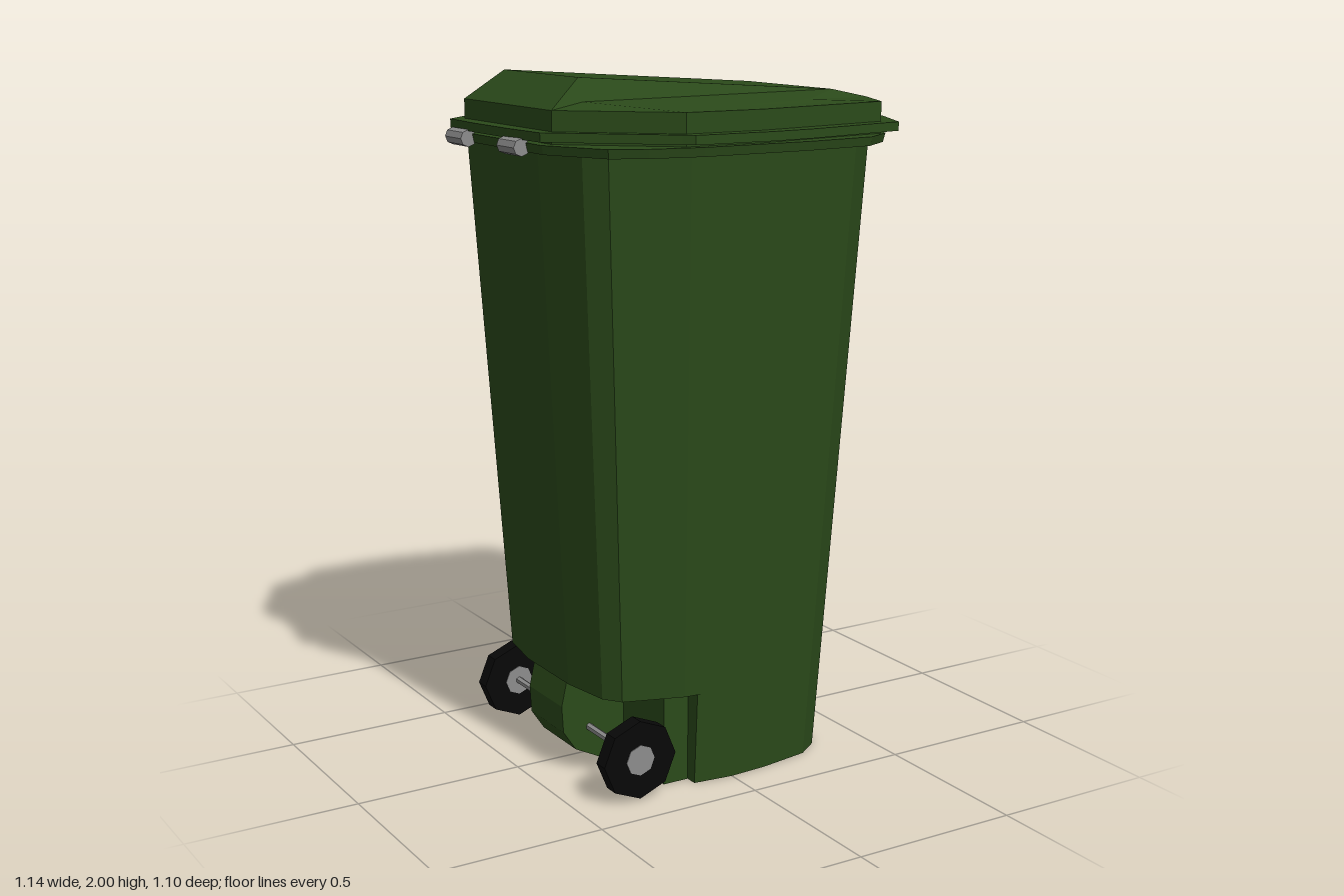
import * as THREE from 'three';

const mat = (color) => new THREE.MeshStandardMaterial({ color, flatShading: true });

function trisToGeometry(tris) {
  const g = new THREE.BufferGeometry();
  g.setAttribute('position', new THREE.Float32BufferAttribute(tris.flat(2), 3));
  g.computeVertexNormals();
  return g;
}

// Half outline [x, z] from front (+x) to back (-x), mirrored across z = 0
const mirrorOutline = (half) => [...half, ...half.map(([x, z]) => [x, -z]).reverse()];
const ringAt = (outline, y, s = 1) => outline.map(([x, z]) => [x * s, y, z * s]);

// Closed solid through a stack of rings, bottom first
function loft(rings) {
  const tris = [];
  const n = rings[0].length;
  for (let k = 0; k < rings.length - 1; k++) {
    const lo = rings[k], hi = rings[k + 1];
    for (let i = 0; i < n; i++) {
      const j = (i + 1) % n;
      tris.push([lo[i], hi[i], lo[j]], [lo[j], hi[i], hi[j]]);
    }
  }
  const bottom = rings[0], top = rings[rings.length - 1];
  for (let i = 1; i < n - 1; i++) {
    tris.push([bottom[0], bottom[i], bottom[i + 1]], [top[0], top[i + 1], top[i]]);
  }
  return trisToGeometry(tris);
}

// Raised lid top: sloping plateau, dented shoulders, folded ends
function lidTop() {
  const E0 = [-0.5, 1.92, 0.26], E1 = [-0.235, 1.92, 0.5], E2 = [0, 1.92, 0.505];
  const E3 = [0.44, 1.92, 0.435], E4 = [0.52, 1.92, 0.26];
  const R0 = [-0.395, 2.0, 0.215], R1 = [0.43, 1.942, 0.215];
  const A = [-0.4, 1.938, 0.25], B = [-0.19, 1.926, 0.41];
  const C = [0, 1.926, 0.42], D = [0.23, 1.93, 0.385];
  const half = [
    [E0, R0, A], [E0, A, E1], [A, E1, B], [E1, E2, B], [B, E2, C], [C, E2, E3],
    [C, E3, D], [D, E3, E4], [R1, E4, D], [R0, A, R1], [A, D, R1], [A, B, C], [A, C, D],
  ];
  const m = ([x, y, z]) => [x, y, -z];
  const tris = [...half, ...half.map((t) => t.map(m))];
  for (const [p, q] of [[R0, R1], [R1, E4], [E0, R0]]) tris.push([p, q, m(p)], [m(p), q, m(q)]);
  // Turn every face upwards
  return trisToGeometry(tris.map(([a, b, c]) => {
    const ny = (b[2] - a[2]) * (c[0] - a[0]) - (b[0] - a[0]) * (c[2] - a[2]);
    return ny < 0 ? [a, c, b] : [a, b, c];
  }));
}

export function createModel() {
  const model = new THREE.Group();
  model.name = 'wheeledBin';
  const green = mat(0x2b4a1a), black = mat(0x080808), grey = mat(0x8c8c8c);

  const add = (name, geometry, material, parent = model) => {
    const mesh = new THREE.Mesh(geometry, material);
    mesh.name = name;
    parent.add(mesh);
    return mesh;
  };
  // Cylinder lying along z
  const rod = (r, length, sides) => new THREE.CylinderGeometry(r, r, length, sides).rotateX(Math.PI / 2);

  // Tapered body with chamfered corners, cut away at the lower back for the wheels
  const bodyOutline = mirrorOutline([
    [0.5, 0.12], [0.465, 0.34], [0.435, 0.385], [0.35, 0.445], [0.15, 0.478], [0, 0.487],
    [-0.2, 0.47], [-0.41, 0.4], [-0.455, 0.34], [-0.485, 0.15],
  ]);
  const taper = (y) => 0.78 + 0.22 * (y / 1.81);
  const notchY = 0.275, notchX = -0.12;
  add('body', loft([notchY, 1.81].map((y) => ringAt(bodyOutline, y, taper(y)))), green);
  const clip = ([x, y, z]) => [Math.max(x, notchX), y, z];
  add('lowerBody', loft([0, notchY].map((y) => ringAt(bodyOutline, y, taper(y)).map(clip))), green);

  // Recessed wall between the wheels
  add('wheelRecess', new THREE.BoxGeometry(0.12, notchY, 0.66), green)
    .position.set(-0.14, notchY / 2, 0);

  // Rounded bracket holding the axle
  const bracket = new THREE.Shape([
    [-0.18, 0.01], [-0.18, notchY], [-0.388, notchY], [-0.405, 0.2], [-0.4, 0.12], [-0.36, 0.06], [-0.28, 0.02],
  ].map(([x, y]) => new THREE.Vector2(x, y)));
  add('axleBracket', new THREE.ExtrudeGeometry(bracket, { depth: 0.2, bevelEnabled: false })
    .translate(0, 0, -0.1), green);

  // Body rim
  const rimOutline = mirrorOutline([
    [0.55, 0.25], [0.46, 0.43], [0.355, 0.51], [0.13, 0.535], [-0.2, 0.535],
    [-0.35, 0.505], [-0.445, 0.46], [-0.535, 0.27],
  ]);
  add('bodyRim', loft([ringAt(rimOutline, 1.807, 0.99), ringAt(rimOutline, 1.832)]), green);

  // Lid: flange, upright wall and folded top
  const lid = new THREE.Group();
  lid.name = 'lid';
  model.add(lid);
  const flangeOutline = mirrorOutline([
    [0.57, 0.27], [0.475, 0.47], [0.13, 0.54], [0, 0.552], [-0.235, 0.545],
    [-0.26, 0.52], [-0.54, 0.27], [-0.55, 0.1],
  ]);
  add('lidFlange', loft([ringAt(flangeOutline, 1.84), ringAt(flangeOutline, 1.865)]), green, lid);
  const wallOutline = mirrorOutline([
    [0.52, 0.26], [0.44, 0.435], [0, 0.505], [-0.235, 0.5], [-0.5, 0.26],
  ]);
  add('lidWall', loft([ringAt(wallOutline, 1.82), ringAt(wallOutline, 1.92)]), green, lid);
  add('lidTop', lidTop(), green, lid);

  // Hinge pins at the back
  for (const z of [-0.19, 0.13]) {
    add('hinge', rod(0.024, 0.1, 8), grey).position.set(-0.547, 1.82, z);
  }

  // Wheels, hubs and axle
  const wheelX = -0.315, wheelY = 0.122;
  for (const side of [-1, 1]) {
    const wheel = new THREE.Group();
    wheel.name = side > 0 ? 'frontWheel' : 'backWheel';
    wheel.position.set(wheelX, wheelY, side * 0.37);
    add('tyre', rod(0.115, 0.046, 8), black, wheel);
    add('hub', rod(0.045, 0.05, 8), grey, wheel);
    model.add(wheel);
  }
  add('axle', rod(0.011, 0.72, 6), grey).position.set(wheelX, wheelY, 0);

  return model;
}
